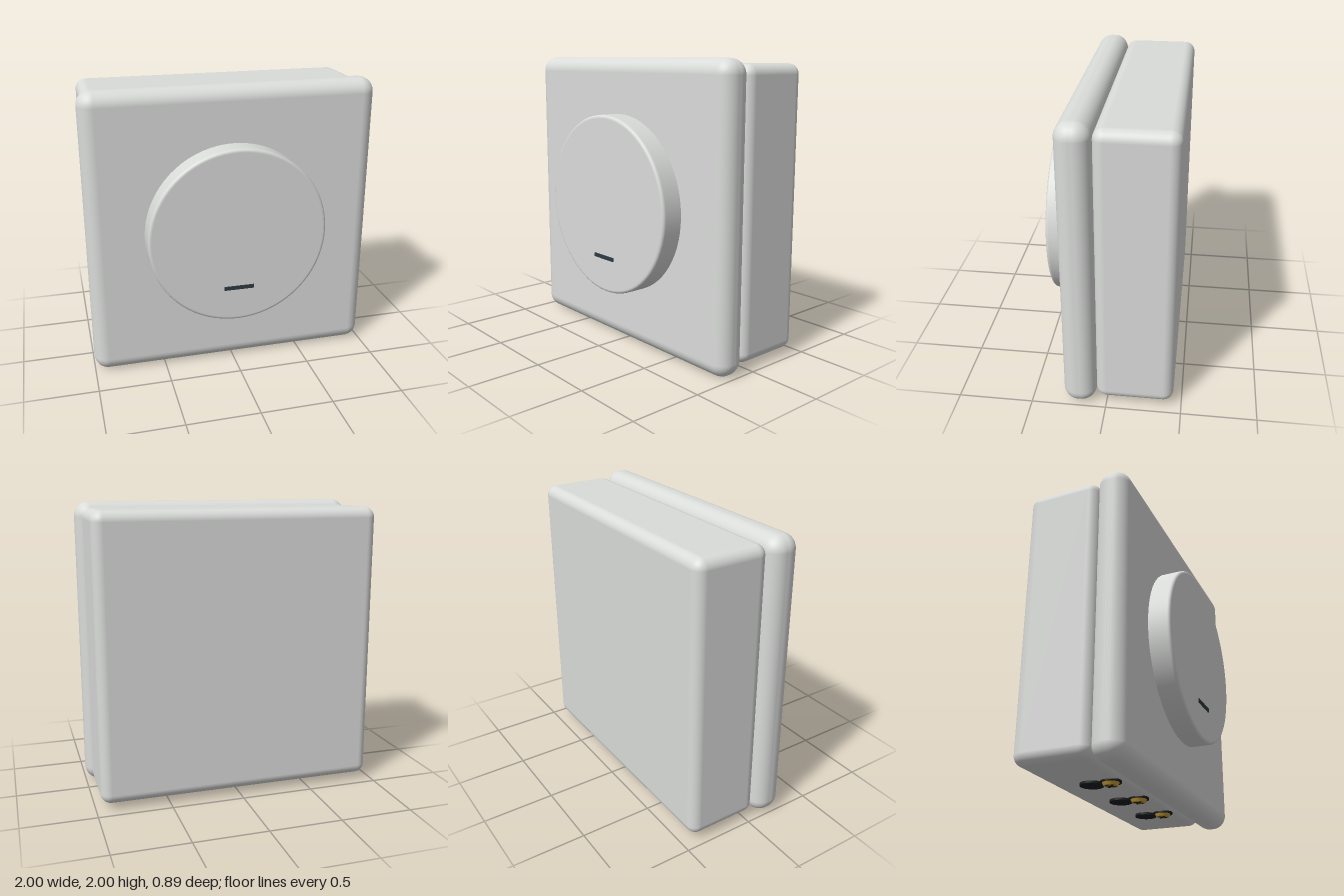
import * as THREE from 'three';
import { RoundedBoxGeometry } from 'three/addons/geometries/RoundedBoxGeometry.js';

const mat = (name, color) => {
  const m = new THREE.MeshStandardMaterial({ color });
  m.name = name;
  return m;
};

export function createModel() {
  const shell = mat('light grey plastic', 0xdadcda);
  const mark = mat('slate marker', 0x303a42);
  const black = mat('black openings', 0x1a1d21);
  const brass = mat('brass', 0xc9a03a);

  const model = new THREE.Group();
  model.name = 'wallDial';
  const add = (name, geometry, material, x, y, z, parent = model) => {
    const mesh = new THREE.Mesh(geometry, material);
    mesh.name = name;
    mesh.position.set(x, y, z);
    parent.add(mesh);
    return mesh;
  };

  // Housing: rounded cover plate in front of a deeper box
  add('coverPlate', new RoundedBoxGeometry(2, 2, 0.22, 6, 0.1), shell, 0, 1, 0.18);
  add('backBox', new RoundedBoxGeometry(1.93, 1.925, 0.515, 6, 0.07), shell, 0, 1.0025, -0.1875);

  // Dial: turned disc with a small rounded front edge
  const radius = 0.617, depth = 0.16, bevel = 0.02;
  const profile = [new THREE.Vector2(radius, 0), new THREE.Vector2(radius, depth - bevel - 0.004)];
  for (let i = 0; i <= 5; i++) {
    const a = (i / 5) * Math.PI / 2;
    profile.push(new THREE.Vector2(
      radius - bevel + bevel * Math.cos(a),
      depth - bevel + bevel * Math.sin(a)));
  }
  profile.push(new THREE.Vector2(radius - bevel - 0.004, depth), new THREE.Vector2(0, depth));
  add('dial', new THREE.LatheGeometry(profile, 72).rotateX(Math.PI / 2), shell, 0, 1.005, 0.28);
  add('dialMarker', new THREE.BoxGeometry(0.21, 0.026, 0.009), mark, 0, 0.638, 0.4435);

  // Three terminals underneath: wire entry, screw well and cross-slotted screw
  for (const x of [-0.44, 0, 0.44]) {
    const terminal = new THREE.Group();
    terminal.name = 'terminal';
    terminal.position.x = x;
    model.add(terminal);
    add('wireEntry', new THREE.CylinderGeometry(0.078, 0.078, 0.018, 20), black, 0, 0.034, -0.165, terminal);
    add('screwWell', new THREE.CylinderGeometry(0.07, 0.07, 0.012, 24), black, 0, 0.038, -0.035, terminal);
    add('screwHead', new THREE.CylinderGeometry(0.057, 0.046, 0.022, 24), brass, 0, 0.023, -0.035, terminal);
    for (const turn of [Math.PI / 4, -Math.PI / 4]) {
      const slot = add('screwSlot', new THREE.BoxGeometry(0.07, 0.004, 0.014), black, 0, 0.011, -0.035, terminal);
      slot.rotation.y = turn;
    }
  }

  return model;
}
